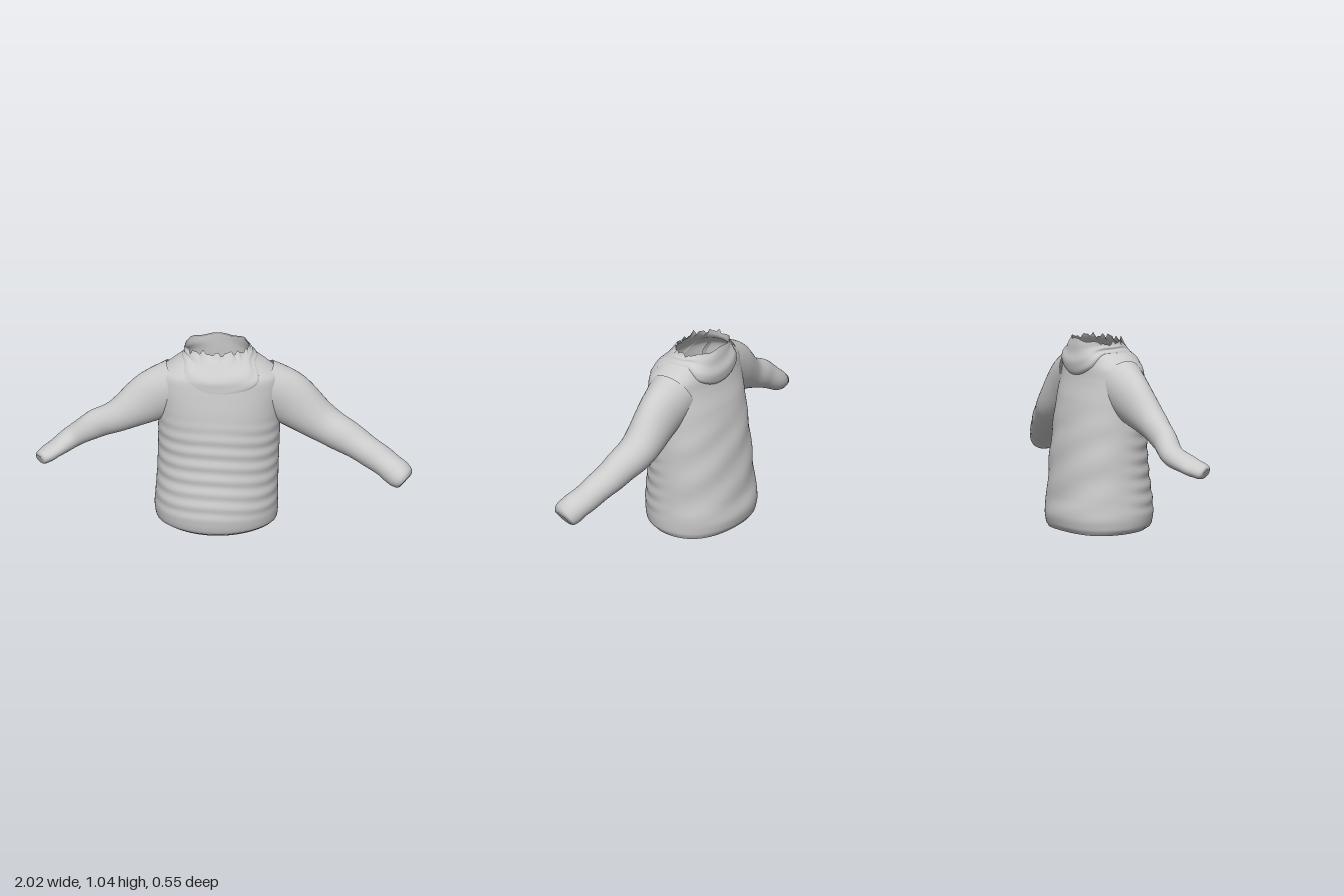
import * as THREE from 'three';

const grey = new THREE.MeshStandardMaterial({ color: 0xcccccc, side: THREE.DoubleSide });

// Torso cross-sections: [y, xMin, xMax, zBack, zFront]
const TORSO = [
  [0.008, -0.35, 0.26, -0.248, 0.225],
  [0.03, -0.37, 0.275, -0.264, 0.262],
  [0.09, -0.38, 0.28, -0.274, 0.275],
  [0.18, -0.374, 0.28, -0.26, 0.27],
  [0.30, -0.366, 0.282, -0.247, 0.254],
  [0.45, -0.362, 0.287, -0.228, 0.241],
  [0.60, -0.36, 0.292, -0.203, 0.233],
  [0.72, -0.362, 0.295, -0.178, 0.223],
  [0.82, -0.365, 0.298, -0.15, 0.209],
  [0.89, -0.35, 0.288, -0.14, 0.197],
  [0.94, -0.285, 0.222, -0.136, 0.17],
  [0.98, -0.226, 0.158, -0.134, 0.136],
  [1.025, -0.217, 0.123, -0.132, 0.1],
];

// Catmull-Rom blend of table rows
function sample(rows, i, t) {
  const at = k => rows[Math.min(rows.length - 1, Math.max(0, k))];
  const [a, b, c, d] = [at(i - 1), at(i), at(i + 1), at(i + 2)];
  return b.map((_, k) => b[k] + 0.5 * t * (c[k] - a[k] +
    t * (2 * a[k] - 5 * b[k] + 4 * c[k] - d[k] + t * (3 * (b[k] - c[k]) + d[k] - a[k]))));
}

const smooth = (a, b, x) => THREE.MathUtils.smoothstep(x, a, b);

// Point on the torso at angle a (0 = left side, PI/2 = front) and height y
function torsoPoint(a, y, offset = 0) {
  let i = 0;
  while (i < TORSO.length - 2 && y > TORSO[i + 1][0]) i++;
  const t = THREE.MathUtils.clamp((y - TORSO[i][0]) / (TORSO[i + 1][0] - TORSO[i][0]), 0, 1);
  const [, x0, x1, z0, z1] = sample(TORSO, i, t);
  const c = Math.cos(a), s = Math.sin(a);
  // the back is squarer than the belly
  const power = s < 0 ? 0.9 : 1 - 0.08 * smooth(0.4, 0.8, y);
  const full = v => Math.sign(v) * Math.abs(v) ** power;
  // soft horizontal folds on the front, slanting creases on the back
  const band = smooth(0.06, 0.16, y) * (1 - smooth(0.5, 0.72, y));
  const front = Math.sin(y * 82 + Math.sin(a * 3) * 0.9 + c * 1.3) * 0.003 * smooth(-0.2, 0.6, s);
  const back = Math.sin(y * 30 + c * 5) * 0.003 * smooth(-0.1, 0.6, -s);
  const d = offset + band * (front + back);
  return new THREE.Vector3(
    (x0 + x1) / 2 + full(c) * ((x1 - x0) / 2 + d), y, (z0 + z1) / 2 + full(s) * ((z1 - z0) / 2 + d));
}

// Torso side wall at height y and depth z, just under the cloth
function wallX(y, z, side) {
  const zf = torsoPoint(Math.PI / 2, y).z, zb = torsoPoint(-Math.PI / 2, y).z;
  const a = Math.asin(THREE.MathUtils.clamp((2 * z - zf - zb) / (zf - zb), -1, 1));
  return torsoPoint(side > 0 ? a : Math.PI - a, y).x - side * 0.01;
}

// Grid of quads closed around u; caps are optional fans
function surface(name, nu, nv, point, capStart = false, capEnd = false) {
  const pos = [], idx = [];
  for (let j = 0; j <= nv; j++)
    for (let i = 0; i < nu; i++) pos.push(...point((i / nu) * Math.PI * 2, j / nv).toArray());
  for (let j = 0; j < nv; j++)
    for (let i = 0; i < nu; i++) {
      const a = j * nu + i, b = j * nu + (i + 1) % nu;
      idx.push(a, a + nu, b, b, a + nu, b + nu);
    }
  const cap = (row, flip) => {
    const base = pos.length / 3, mid = new THREE.Vector3();
    for (let i = 0; i < nu; i++) {
      const p = new THREE.Vector3().fromArray(pos, (row * nu + i) * 3);
      mid.addScaledVector(p, 1 / nu);
      pos.push(...p.toArray());
    }
    pos.push(...mid.toArray());
    for (let i = 0; i < nu; i++) {
      const a = base + i, b = base + (i + 1) % nu;
      idx.push(...(flip ? [b, a, base + nu] : [a, b, base + nu]));
    }
  };
  if (capStart) cap(0, false);
  if (capEnd) cap(nv, true);
  const g = new THREE.BufferGeometry();
  g.setAttribute('position', new THREE.Float32BufferAttribute(pos, 3));
  g.setIndex(idx);
  g.computeVertexNormals();
  const m = new THREE.Mesh(g, grey);
  m.name = name;
  return m;
}

// Sleeve through rows [x, y, z, radius in the xy plane, radius in depth]
function sleeve(name, rows, side) {
  const n = rows.length - 1;
  const at = v => {
    const i = Math.min(n - 1, Math.floor(v * n));
    return sample(rows, i, v * n - i);
  };
  return surface(name, 40, 72, (a, v) => {
    const [x, y, z, r, rz] = at(v);
    const p = at(Math.max(0, v - 0.02)), q = at(Math.min(1, v + 0.02));
    const tan = new THREE.Vector3(q[0] - p[0], q[1] - p[1], q[2] - p[2]).normalize();
    const up = new THREE.Vector3(-tan.y, tan.x, 0).normalize().multiplyScalar(side);
    const depth = new THREE.Vector3().crossVectors(tan, up);
    // soft cloth creases around the elbow
    const k = 1 + 0.02 * Math.sin(v * 38 + 2 * Math.sin(a)) * smooth(0.2, 0.4, v) * (1 - smooth(0.65, 0.8, v));
    const out = new THREE.Vector3(x, y, z)
      .addScaledVector(up, Math.cos(a) * r * k)
      .addScaledVector(depth, Math.sin(a) * rz * k);
    // the shoulder end follows the torso wall instead of entering the body
    if (v < 0.4) out.x = side * Math.max(side * out.x, side * wallX(out.y, out.z, side));
    return out;
  }, false, true);
}

export function createModel() {
  const model = new THREE.Group();
  model.name = 'hoodedJacket';

  // Ragged neckline height, roughest at the front
  const ragged = a => (0.009 * Math.sin(a * 17) + 0.007 * Math.sin(a * 29 + 1)) * smooth(-0.9, 0.5, Math.sin(a))
    + 0.005 * Math.sin(a * 7);

  // Body with a closed hem and an open neck
  model.add(surface('body', 96, 110, (a, v) => {
    const p = torsoPoint(a, 0.008 + v * 1.014);
    p.y += ragged(a) * smooth(0.96, 1, v);
    p.y += (0.004 * Math.sin(a * 3) - 0.003) * (1 - smooth(0, 0.05, v));
    return p;
  }, true));

  // Folded-down hood: a V at front and back, with a lobe towards the left front
  model.add(surface('hood', 96, 20, (a, v) => {
    const s = Math.sin(a);
    const lobe = 0.035 * Math.exp(-(((a - 0.95) / 0.3) ** 2));
    const low = 0.97 - (s > 0 ? 0.145 : 0.13) * Math.abs(s) ** 4 - lobe;
    const y = THREE.MathUtils.lerp(low, 1.02, v);
    const bulge = (0.007 + 0.02 * smooth(0.3, 1, -s) + lobe * 0.15) * Math.sin(Math.PI * Math.min(1, v + 0.02) ** 0.6);
    const fold = 0.003 * Math.sin(v * 12 + a * 2) * Math.sin(Math.PI * v);
    const p = torsoPoint(a, y, bulge + fold - 0.004 * (1 - v) + 0.002 * v);
    p.y += ragged(a) * smooth(0.75, 1, v) + 0.012 * smooth(0.5, 1, v) * Math.max(0, -s);
    return p;
  }));

  // Left sleeve hangs lower and swings further forward
  model.add(sleeve('leftSleeve', [
    [0.19, 0.805, 0.012, 0.147, 0.13],
    [0.33, 0.73, 0.007, 0.15, 0.108],
    [0.5, 0.6, 0.014, 0.11, 0.1],
    [0.65, 0.52, 0.05, 0.091, 0.088],
    [0.78, 0.45, 0.09, 0.078, 0.08],
    [0.88, 0.393, 0.132, 0.074, 0.078],
    [0.935, 0.357, 0.16, 0.074, 0.08],
    [0.961, 0.336, 0.172, 0.062, 0.074],
    [0.971, 0.328, 0.176, 0.044, 0.058],
  ], 1));

  model.add(sleeve('rightSleeve', [
    [-0.25, 0.81, 0.027, 0.143, 0.125],
    [-0.4, 0.73, 0.036, 0.139, 0.098],
    [-0.57, 0.63, 0.063, 0.091, 0.077],
    [-0.7, 0.57, 0.06, 0.076, 0.066],
    [-0.82, 0.492, 0.06, 0.058, 0.064],
    [-0.91, 0.446, 0.115, 0.045, 0.068],
    [-0.96, 0.424, 0.152, 0.04, 0.062],
    [-0.98, 0.414, 0.167, 0.034, 0.052],
    [-0.987, 0.411, 0.172, 0.024, 0.038],
  ], -1));

  return model;
}
